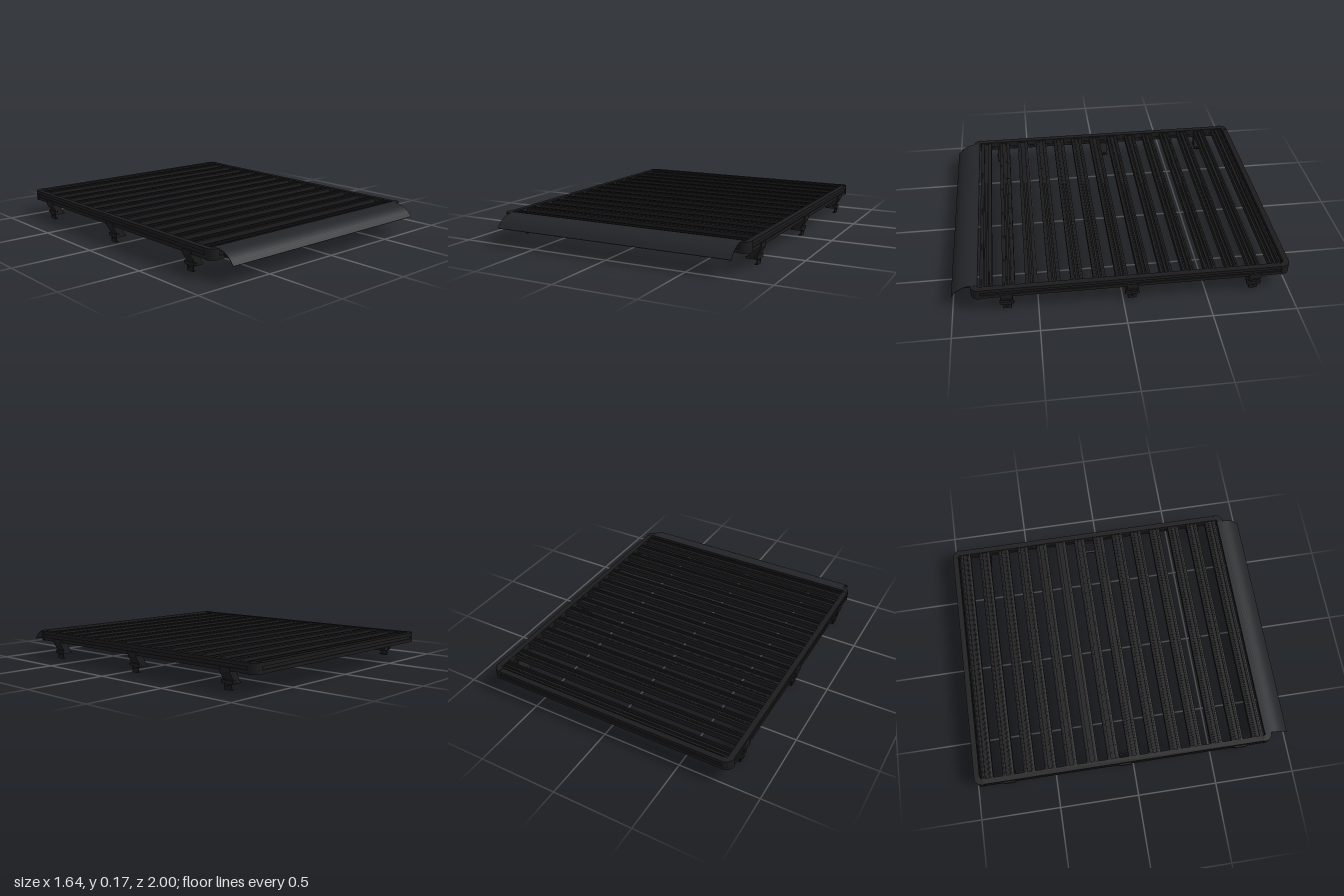
import * as THREE from 'three';

const black = new THREE.MeshStandardMaterial({ color: 0x1b1b1d });
const panel = new THREE.MeshStandardMaterial({ color: 0x222427, side: THREE.DoubleSide });

const X = 0.812, BACK = -1, FRONT = 0.885;   // frame outline
const LOW = 0.108, TOP = 0.168;              // frame bottom and top

function add(parent, geometry, name, material = black) {
  const mesh = new THREE.Mesh(geometry, material);
  mesh.name = name;
  parent.add(mesh);
  return mesh;
}

const toShape = (pts) => new THREE.Shape(pts.map(([a, b]) => new THREE.Vector2(a, b)));

// Profile in [z, y], swept along x and centred on x0
function sweepX(pts, width, x0 = 0) {
  const g = new THREE.ExtrudeGeometry(toShape(pts.map(([z, y]) => [-z, y])), { depth: width, bevelEnabled: false });
  return g.translate(0, 0, -width / 2).rotateY(Math.PI / 2).translate(x0, 0, 0);
}

// Profile in [x, y], swept along z about z = 0, mirrored when side is -1
function sweepZ(pts, width, side, z0 = 0) {
  const g = new THREE.ExtrudeGeometry(toShape(pts.map(([x, y]) => [side * x, y])), { depth: width, bevelEnabled: false });
  return g.translate(0, 0, z0 - width / 2);
}

// Rounded rectangle of the frame, inset by d
function outline(path, d, radius) {
  const x = X - d, y0 = -FRONT + d, y1 = -BACK - d, r = radius, q = Math.PI / 2;
  path.moveTo(x, y0 + r);
  path.lineTo(x, y1 - r);
  path.absarc(x - r, y1 - r, r, 0, q);
  path.absarc(-x + r, y1 - r, r, q, 2 * q);
  path.absarc(-x + r, y0 + r, r, 2 * q, 3 * q);
  path.absarc(x - r, y0 + r, r, 3 * q, 4 * q);
  return path;
}

// One horizontal layer of the perimeter rail
function railLayer(y0, y1, outer, inner) {
  const shape = outline(new THREE.Shape(), outer, 0.045 - outer);
  shape.holes.push(outline(new THREE.Path(), inner, 0.012));
  const g = new THREE.ExtrudeGeometry(shape, { depth: y1 - y0, bevelEnabled: false, curveSegments: 8 });
  return g.rotateX(-Math.PI / 2).translate(0, y0, 0);
}

// Quarter-bend corner casting
function cornerCap(sx, sz) {
  const s = new THREE.Shape(), R = 0.05, t = 0.038, L = 0.055;
  s.moveTo(0, -L);
  s.lineTo(0, -R);
  s.absarc(-R, -R, R, 0, Math.PI / 2);
  s.lineTo(-L, 0);
  s.lineTo(-L, -t);
  s.lineTo(-R, -t);
  s.absarc(-R, -R, R - t, Math.PI / 2, 0, true);
  s.lineTo(-t, -L);
  const pts = s.getPoints(8).map((p) => [sx * (p.x + X + 0.003), -sz * p.y - (sz > 0 ? FRONT : BACK) + 0]);
  // outline y is -z: the corner bends inward from the front or back edge
  const g = new THREE.ExtrudeGeometry(toShape(pts.map(([x, y]) => [x, y])), { depth: TOP - LOW + 0.003, bevelEnabled: false });
  return g.rotateX(-Math.PI / 2).translate(0, LOW - 0.0015, 0);
}

// Slotted slat profile: ribbed top, open T-slot below
function slatProfile(z) {
  const half = [[0.007, 0.158], [0.007, 0.152], [0.013, 0.152], [0.013, 0.163], [0.021, 0.163], [0.021, 0.158],
    [0.025, 0.158], [0.025, 0.163], [0.036, 0.161], [0.036, 0.126], [0.011, 0.126], [0.011, 0.131],
    [0.024, 0.131], [0.024, 0.140], [0.004, 0.140]];
  const mirrored = half.map(([a, b]) => [-a, b]).reverse();
  return [...half, ...mirrored].map(([a, b]) => [a + z, b]);
}

// Mounting foot: slanted leg, flange, gutter clamp and bolt
function mount(side) {
  const g = new THREE.Group();
  add(g, sweepZ([[0.765, 0.112], [0.818, 0.112], [0.818, 0.102], [0.783, 0.045], [0.738, 0.045]], 0.072, side), 'slantedLeg');
  add(g, sweepZ([[0.785, 0.112], [0.818, 0.112], [0.818, 0.128], [0.81, 0.128]], 0.072, side), 'railLip');
  add(g, sweepZ([[0.727, 0.034], [0.8, 0.034], [0.8, 0.043], [0.74, 0.047], [0.727, 0.043]], 0.072, side), 'footPlate');
  add(g, sweepZ([[0.779, 0.04], [0.8, 0.04], [0.8, 0.055], [0.779, 0.055]], 0.084, side), 'clampFlange');
  add(g, sweepZ([[0.783, 0], [0.793, 0], [0.793, 0.045], [0.786, 0.045], [0.786, 0.006], [0.775, 0.006], [0.775, 0]], 0.05, side), 'gutterClamp');
  const bolt = add(g, new THREE.CylinderGeometry(0.007, 0.007, 0.014, 6), 'clampBolt');
  bolt.rotation.z = Math.PI / 2;
  bolt.position.set(side * 0.795, 0.028, 0);
  return g;
}

export function createModel() {
  const model = new THREE.Group();
  model.name = 'roofRack';

  // Perimeter rail with a groove along its outer face
  const rail = new THREE.Group();
  rail.name = 'perimeterRail';
  model.add(rail);
  add(rail, railLayer(LOW, 0.129, 0, 0.035), 'lowerRail');
  add(rail, railLayer(0.129, 0.147, 0.006, 0.03), 'grooveRail');
  add(rail, railLayer(0.147, TOP, 0, 0.035), 'upperRail');
  for (const sx of [-1, 1]) for (const sz of [-1, 1]) add(rail, cornerCap(sx, sz), 'railCorner');

  // Cross slats
  for (let i = 0; i < 14; i++) add(model, sweepX(slatProfile(-0.918 + i * 0.1318), 1.56), 'crossSlat');

  // Six mounting feet
  for (const z of [-0.79, -0.055, 0.682]) {
    for (const side of [-1, 1]) {
      const foot = mount(side);
      foot.name = 'mountingFoot';
      foot.position.z = z;
      model.add(foot);
    }
  }

  // Curved wind deflector and its end supports
  const curve = new THREE.SplineCurve([[0.843, 0.17], [0.885, 0.169], [0.93, 0.158], [0.97, 0.134], [1, 0.1]]
    .map(([z, y]) => new THREE.Vector2(z, y)));
  const upper = curve.getPoints(16).map((p) => [p.x, p.y]);
  const lower = upper.map(([z, y]) => [z - 0.002, y - 0.003]).reverse();
  add(model, sweepX([...upper, ...lower], 1.53), 'windDeflector', panel);
  for (const x of [-0.72, 0, 0.72]) {
    add(model, sweepX([[0.884, 0.12], [0.93, 0.124], [0.967, 0.131], [0.928, 0.155], [0.884, 0.165]], 0.012, x), 'deflectorSupport');
  }
  return model;
}
